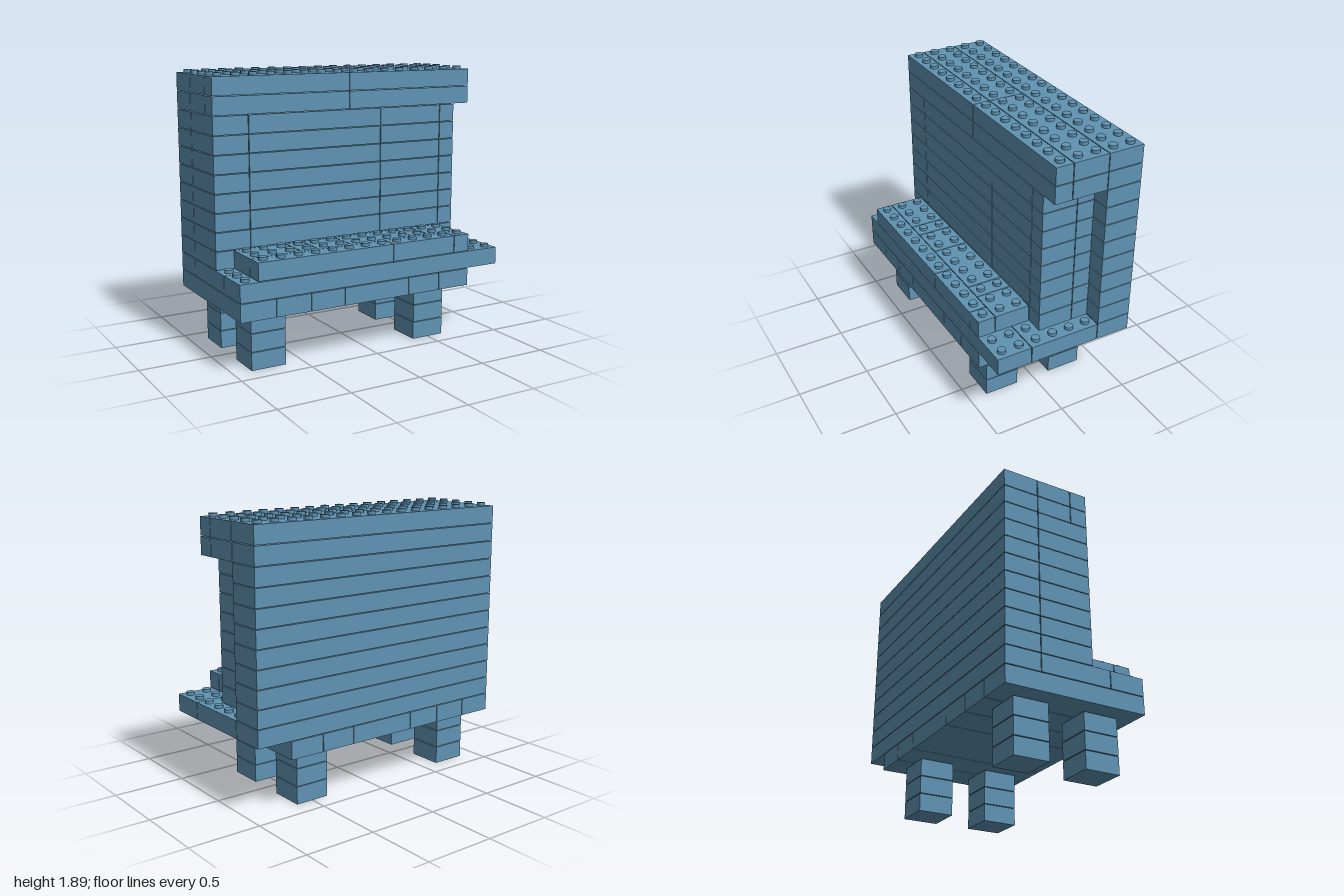
import * as THREE from 'three';

const UNIT = 0.125; // brick grid pitch and brick height
const GAP = 0.005;  // hairline joint between bricks

export function createModel() {
  const model = new THREE.Group();
  model.name = 'brickBench';
  const blue = new THREE.MeshStandardMaterial({ color: 0x6093b3 });
  blue.name = 'steel blue';

  const part = (name) => {
    const g = new THREE.Group();
    g.name = name;
    model.add(g);
    return g;
  };

  // One brick on a given layer, spanning x0..x1 and z0..z1
  const brick = (group, layer, x0, x1, z0, z1) => {
    const mesh = new THREE.Mesh(
      new THREE.BoxGeometry(x1 - x0 - GAP, UNIT - GAP, z1 - z0 - GAP), blue);
    mesh.position.set((x0 + x1) / 2, (layer + 0.5) * UNIT, (z0 + z1) / 2);
    mesh.name = 'brick';
    group.add(mesh);
  };

  // A row of bricks separated at the given x cuts
  const row = (group, layer, cuts, z0, z1) => {
    for (let i = 0; i + 1 < cuts.length; i++) brick(group, layer, cuts[i], cuts[i + 1], z0, z1);
  };

  // Studs covering an exposed rectangle on top of a layer
  const studGeometry = new THREE.CylinderGeometry(0.029, 0.029, 0.024, 12);
  const studs = (group, layer, x0, x1, z0, z1) => {
    for (let x = x0 + UNIT / 2; x < x1; x += UNIT) {
      for (let z = z0 + UNIT / 2; z < z1; z += UNIT) {
        const stud = new THREE.Mesh(studGeometry, blue);
        stud.position.set(x, (layer + 1) * UNIT + 0.007, z);
        stud.name = 'stud';
        group.add(stud);
      }
    }
  };

  // Four stacked legs
  for (const x of [-0.875, 0.375]) {
    for (const z of [-0.375, 0.125]) {
      const leg = part('leg');
      for (let layer = 0; layer < 3; layer++) brick(leg, layer, x, x + 0.25, z, z + 0.25);
    }
  }

  // Under-seat slats running front to back
  row(part('slats'), 3, [-1, -0.75, -0.5, -0.25, 0.25, 0.5, 0.75], -0.5, 0.5);

  // Wide base platform with studs where it stays uncovered
  const base = part('basePlatform');
  row(base, 4, [-1, 1], 0.25, 0.5);
  row(base, 4, [-1, 1], -0.25, 0.25);
  row(base, 4, [-1, 1], -0.5, -0.25);
  studs(base, 4, -1, -0.875, 0.125, 0.5);
  studs(base, 4, 0.75, 1, 0.125, 0.5);
  studs(base, 4, 0.875, 1, -0.25, 0.125);

  // Raised seat
  const seat = part('seat');
  row(seat, 5, [-0.875, 0.125, 0.625, 0.75], 0.375, 0.5);
  row(seat, 5, [-0.875, -0.5, -0.375, -0.125, 0.375, 0.5, 0.75], 0.125, 0.375);
  studs(seat, 5, -0.875, 0.75, 0.125, 0.5);

  // Backrest: long rear courses, shorter front courses with an end column
  const rear = part('rearWall');
  const front = part('frontWall');
  for (let layer = 5; layer < 13; layer++) {
    row(rear, layer, [-1, 1], -0.5, -0.25);
    row(front, layer, [-1, -0.75, 0.25, 0.75], -0.25, 0.125);
    brick(front, layer, 0.75, 0.875, -0.125, 0.125);
    brick(front, layer, 0.75, 0.875, -0.25, -0.125);
  }

  // Overhanging two-course cap
  const cap = part('cap');
  for (let layer = 13; layer < 15; layer++) {
    row(cap, layer, [-1, 1], -0.5, -0.25);
    row(cap, layer, [-1, 0, 1], -0.25, 0);
    row(cap, layer, [-1, 0, 1], 0, 0.125);
  }
  studs(cap, 14, -1, 1, -0.5, 0.125);

  return model;
}
